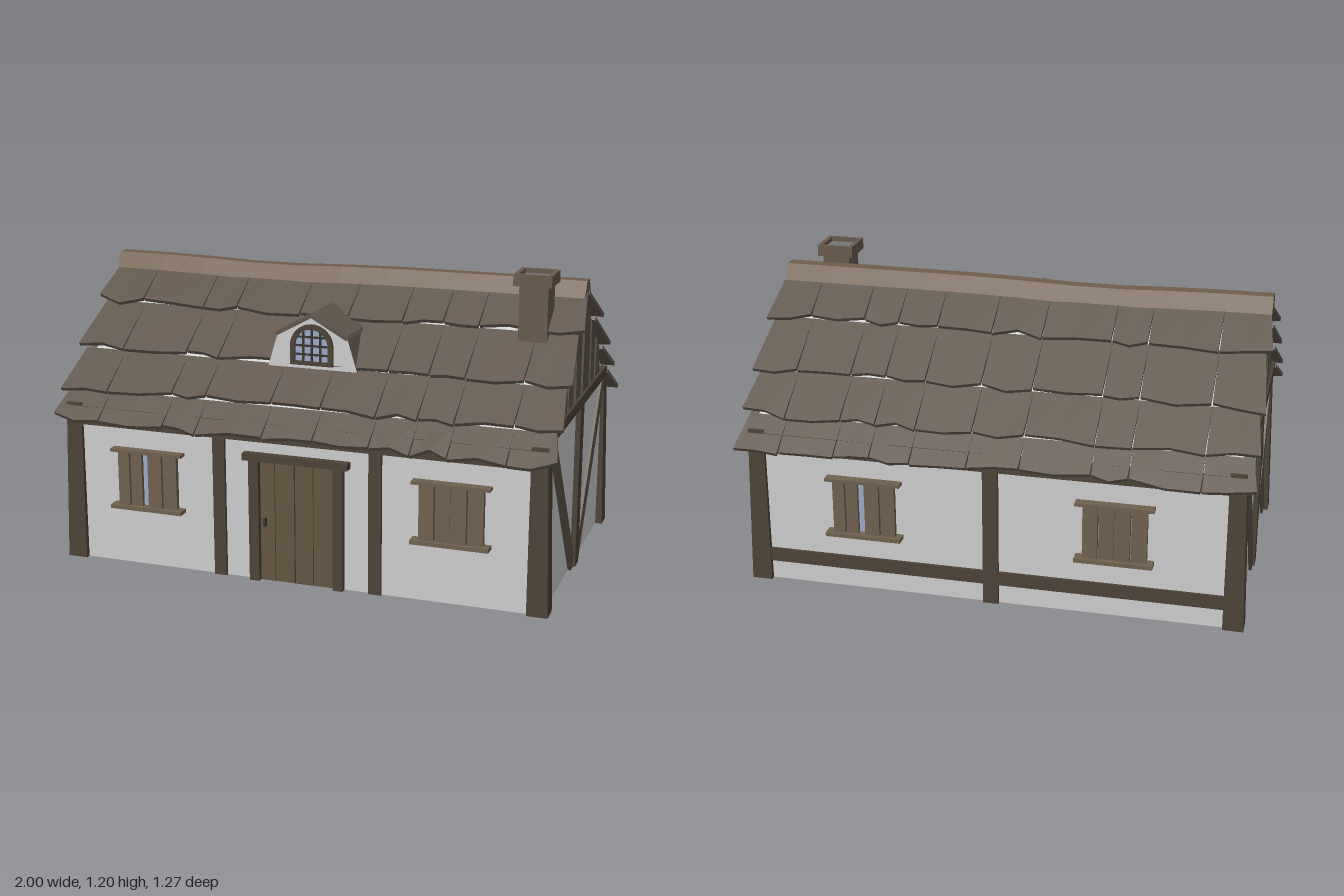
import * as THREE from 'three';

const mat = (color) => new THREE.MeshStandardMaterial({ color, flatShading: true });
const M = {
  plaster: mat(0xcccccc), timber: mat(0x4c4236), brace: mat(0x5c5247), roof: mat(0x5f554b),
  wood: mat(0x70604d), door: mat(0x65543f), ridge: mat(0x705c49), stone: mat(0x68594c),
  glass: mat(0x9aa8c4), iron: mat(0x38342f), soot: mat(0x777777),
};

function add(parent, name, geo, material, x = 0, y = 0, z = 0) {
  const mesh = new THREE.Mesh(geo, material);
  mesh.name = name;
  mesh.position.set(x, y, z);
  parent.add(mesh);
  return mesh;
}
// Box given by its min and max corners
function box(parent, name, material, x0, x1, y0, y1, z0, z1) {
  return add(parent, name, new THREE.BoxGeometry(x1 - x0, y1 - y0, z1 - z0), material,
    (x0 + x1) / 2, (y0 + y1) / 2, (z0 + z1) / 2);
}
function warp(geo, fn) {
  const p = geo.attributes.position, v = new THREE.Vector3();
  for (let i = 0; i < p.count; i++) {
    fn(v.fromBufferAttribute(p, i));
    p.setXYZ(i, v.x, v.y, v.z);
  }
  geo.computeVertexNormals();
  return geo;
}
const shapeOf = (pts) => new THREE.Shape(pts.map(([a, b]) => new THREE.Vector2(a, b)));
const extrude = (shape, depth, steps = 1) =>
  new THREE.ExtrudeGeometry(shape, { depth, steps, bevelEnabled: false, curveSegments: 8 });
// Outline in (z, y), extruded from x0 to x1
function alongX(pts, x0, x1, steps = 1) {
  return extrude(shapeOf(pts.map(([z, y]) => [-z, y])), x1 - x0, steps).rotateY(Math.PI / 2).translate(x0, 0, 0);
}
const jitter = (n) => {
  const s = Math.sin(n * 127.1 + 11.7) * 43758.5453;
  return (s - Math.floor(s)) * 2 - 1;
};
const gableY = (z) => 1.095 - 0.83 * Math.abs(z);

// Window with plank shutters, built facing +z
function shutterWindow(parent, x, gap) {
  const g = new THREE.Group();
  g.name = 'window';
  g.position.set(x, 0, 0.555);
  parent.add(g);
  box(g, 'glass', M.glass, -0.1, 0.1, 0.25, 0.46, -0.01, 0.012);
  box(g, 'windowSill', M.wood, -0.15, 0.15, 0.235, 0.25, 0, 0.05);
  box(g, 'windowHead', M.wood, -0.15, 0.15, 0.464, 0.476, 0, 0.04);
  const halves = [[-0.12, -gap], [gap * 0.3, 0.125]];
  for (const [a, b] of halves) {
    const mid = (a + b) / 2;
    box(g, 'shutterPlank', M.wood, a, mid - 0.002, 0.25, 0.465, 0.008, 0.034);
    box(g, 'shutterPlank', M.wood, mid + 0.002, b, 0.25, 0.465, 0.008, 0.028);
  }
}

// One roof slope: four overlapping rows of ragged slabs, facing +z
function roofSlope(parent, cols, seed) {
  const line = [[0.02, 1.12], [0.2, 0.985], [0.385, 0.828], [0.528, 0.697], [0.618, 0.593]];
  for (let r = 0; r < 4; r++) {
    const [zb, yb] = line[r + 1];
    let [za, ya] = line[r];
    if (r > 0) { za -= 0.03; ya += 0.004; }
    for (let c = 0; c < cols.length - 1; c++) {
      const geo = warp(new THREE.BoxGeometry(1, 1, 1, 2, 1, 1), (p) => {
        const k = Math.round((p.x + 0.5) * 2), low = p.z > 0, under = p.y < 0;
        let x = cols[c] + (cols[c + 1] - cols[c]) * k / 2;
        if (!low) x *= Math.abs(x) > 0.95 ? 0.975 : 1;
        else if (Math.abs(x) < 0.95) x += 0.003 * (1 - k);
        const id = seed + r * 57 + c * 2 + k;
        const slide = low ? 0.013 * jitter(id) + 0.004 * jitter(id + c * 31) : 0;
        const t = low ? 1 + slide / (zb - za) : 0;
        p.set(x, ya + (yb - ya) * t - (low ? 0 : 0.02), za + (zb - za) * t);
        if (under) { p.y -= 0.013; p.z -= 0.009; }
      });
      add(parent, 'roofSlab', geo, M.roof);
    }
  }
}

export function createModel() {
  const house = new THREE.Group();
  house.name = 'cottage';

  // Plastered body with gables
  add(house, 'walls', alongX([[0.555, 0], [0.555, 0.63], [0, 1.095], [-0.555, 0.63], [-0.555, 0]], -0.95, 0.95), M.plaster);

  // Tapered corner posts
  for (const sx of [-1, 1]) for (const sz of [-1, 1]) {
    const geo = warp(new THREE.BoxGeometry(0.08, 0.64, 0.075), (p) => {
      if (p.y > 0) {
        if (p.x * sx > 0) p.x -= sx * 0.018;
        if (p.z * sz > 0) p.z -= sz * 0.006;
        else p.z -= sz * -0.006;
      }
    });
    add(house, 'cornerPost', geo, M.timber, sx * 0.938, 0.32, sz * 0.5375);
  }

  // Gable ends: beam, post, braces and planks [bottom z pair, top z pair]
  const planks = [[0.39, 0.27, 0.375, 0.28], [0.25, 0.16, 0.24, 0.155], [0.105, 0.015, 0.125, 0.03],
    [-0.02, -0.14, -0.03, -0.13], [-0.185, -0.25, -0.16, -0.25], [-0.28, -0.385, -0.285, -0.36]];
  for (const s of [-1, 1]) {
    const side = (name, pts, depth, m) =>
      add(house, name, s > 0 ? alongX(pts, 0.94, 0.95 + depth) : alongX(pts, -0.95 - depth, -0.94), m);
    side('tieBeam', [[-0.515, 0.655], [0.515, 0.655], [0.515, 0.668], [0.485, 0.697], [-0.485, 0.697], [-0.515, 0.668]], 0.022, M.timber);
    side('gablePost', [[-0.033, 0], [0.033, 0], [0.033, 0.655], [-0.033, 0.655]], 0.02, M.timber);
    for (const f of [-1, 1]) {
      side('brace', [[0.5, 0.655], [0.455, 0.655], [0.033, 0.06], [0.033, 0], [0.075, 0], [0.5, 0.605]]
        .map(([z, y]) => [z * f, y]), 0.012, M.brace);
    }
    if (s < 0) {
      side('crossBrace', [[0.033, 0.655], [0.08, 0.655], [0.5, 0.06], [0.5, 0], [0.46, 0], [0.033, 0.605]], 0.01, M.brace);
    }
    for (const [a, b, c, d] of planks) {
      side('gablePlank', [[a, 0.69], [b, 0.69], [d, gableY(d)], [c, gableY(c)]], 0.012, M.brace);
    }
  }

  // Front wall timbers, door and windows
  const front = new THREE.Group();
  front.name = 'frontWall';
  house.add(front);
  box(front, 'wallPlate', M.timber, -0.94, 0.94, 0.555, 0.63, 0.54, 0.568);
  for (const x of [-0.317, 0.312]) box(front, 'wallPost', M.timber, x - 0.025, x + 0.025, 0, 0.57, 0.54, 0.568);
  for (const s of [-1, 1]) box(front, 'doorPost', M.timber, s * 0.17 - 0.02, s * 0.17 + 0.02, 0, 0.487, 0.54, 0.58);
  box(front, 'doorLintel', M.timber, -0.212, 0.212, 0.485, 0.512, 0.54, 0.59);
  const seams = [-0.15, -0.088, -0.008, 0.067, 0.15];
  for (let i = 0; i < 4; i++) {
    box(front, 'doorPlank', M.door, seams[i] + 0.002, seams[i + 1] - 0.002, 0.003, 0.485, 0.55, 0.562 + (i % 2) * 0.003);
  }
  box(front, 'doorBacking', M.iron, -0.15, 0.15, 0, 0.485, 0.55, 0.558);
  box(front, 'doorHandle', M.iron, -0.132, -0.122, 0.225, 0.255, 0.56, 0.58);
  shutterWindow(front, -0.615, 0.022);
  shutterWindow(front, 0.608, 0.002);

  // Back wall, turned to face -z
  const back = new THREE.Group();
  back.name = 'backWall';
  back.rotation.y = Math.PI;
  house.add(back);
  box(back, 'wallPlate', M.timber, -0.94, 0.94, 0.555, 0.63, 0.54, 0.568);
  box(back, 'lowerRail', M.timber, -0.92, 0.92, 0.08, 0.135, 0.54, 0.566);
  box(back, 'wallPost', M.timber, -0.03, 0.03, 0, 0.57, 0.54, 0.57);
  shutterWindow(back, -0.5, 0.022);
  shutterWindow(back, 0.48, 0.002);

  // Roof slopes and sagging ridge cap
  const cols = [-1, -0.8, -0.53, -0.39, -0.12, 0.08, 0.3, 0.46, 0.6, 0.82, 1];
  const frontRoof = new THREE.Group(), backRoof = new THREE.Group();
  frontRoof.name = 'frontRoof';
  backRoof.name = 'backRoof';
  backRoof.rotation.y = Math.PI;
  house.add(frontRoof, backRoof);
  roofSlope(frontRoof, cols, 3);
  roofSlope(backRoof, cols.map((x) => -x).reverse(), 400);
  const ridge = alongX([[0.058, 1.085], [0.025, 1.146], [-0.025, 1.146], [-0.058, 1.085]], -0.98, 0.972, 10);
  add(house, 'ridgeCap', warp(ridge, (p) => { p.y -= 0.013 * Math.exp(-(((p.x + 0.3) / 0.3) ** 2)); }), M.ridge);

  // Chimney with hollow cap
  box(house, 'chimneyStack', M.stone, 0.755, 0.865, 0.9, 1.17, 0.1, 0.215);
  const cap = shapeOf([[-0.073, -0.073], [0.073, -0.073], [0.073, 0.073], [-0.073, 0.073]]);
  cap.holes.push(new THREE.Path([[-0.056, -0.056], [-0.056, 0.056], [0.056, 0.056], [0.056, -0.056]]
    .map(([a, b]) => new THREE.Vector2(a, b))));
  add(house, 'chimneyCap', extrude(cap, 0.045).rotateX(-Math.PI / 2), M.stone, 0.808, 1.15, 0.157);
  box(house, 'chimneyFlue', M.soot, 0.75, 0.866, 1.155, 1.178, 0.1, 0.214);

  // Dormer
  const dormer = new THREE.Group();
  dormer.name = 'dormer';
  house.add(dormer);
  const body = extrude(shapeOf([[-0.18, 0.81], [0.18, 0.81], [0.14, 0.94], [0, 1.012], [-0.14, 0.94]]), 0.255);
  add(dormer, 'dormerBody', body, [M.plaster, M.roof], 0, 0, 0.13);
  const hood = shapeOf([[-0.148, 0.936], [-0.14, 0.932], [0, 1.01], [0.14, 0.932], [0.148, 0.936], [0.142, 0.948], [0, 1.022], [-0.142, 0.948]]);
  add(dormer, 'dormerRoof', extrude(hood, 0.275), M.roof, 0, 0, 0.123);
  const arch = (path, w, y0, yc) => {
    path.moveTo(-w, y0);
    path.lineTo(w, y0);
    path.lineTo(w, yc);
    path.absarc(0, yc, w, 0, Math.PI, false);
    path.lineTo(-w, y0);
    return path;
  };
  const frame = arch(new THREE.Shape(), 0.086, 0.825, 0.898);
  frame.holes.push(arch(new THREE.Path(), 0.067, 0.84, 0.898));
  add(dormer, 'dormerWindowFrame', extrude(frame, 0.018), M.timber, 0, 0, 0.38);
  add(dormer, 'dormerGlass', extrude(arch(new THREE.Shape(), 0.07, 0.835, 0.898), 0.008), M.glass, 0, 0, 0.38);
  for (const x of [-0.034, 0, 0.034]) box(dormer, 'glazingBar', M.iron, x - 0.004, x + 0.004, 0.835, x ? 0.954 : 0.967, 0.385, 0.393);
  for (const y of [0.866, 0.9, 0.934]) {
    const w = y > 0.91 ? 0.056 : 0.07;
    box(dormer, 'glazingBar', M.iron, -w, w, y - 0.004, y + 0.004, 0.385, 0.392);
  }
  return house;
}
